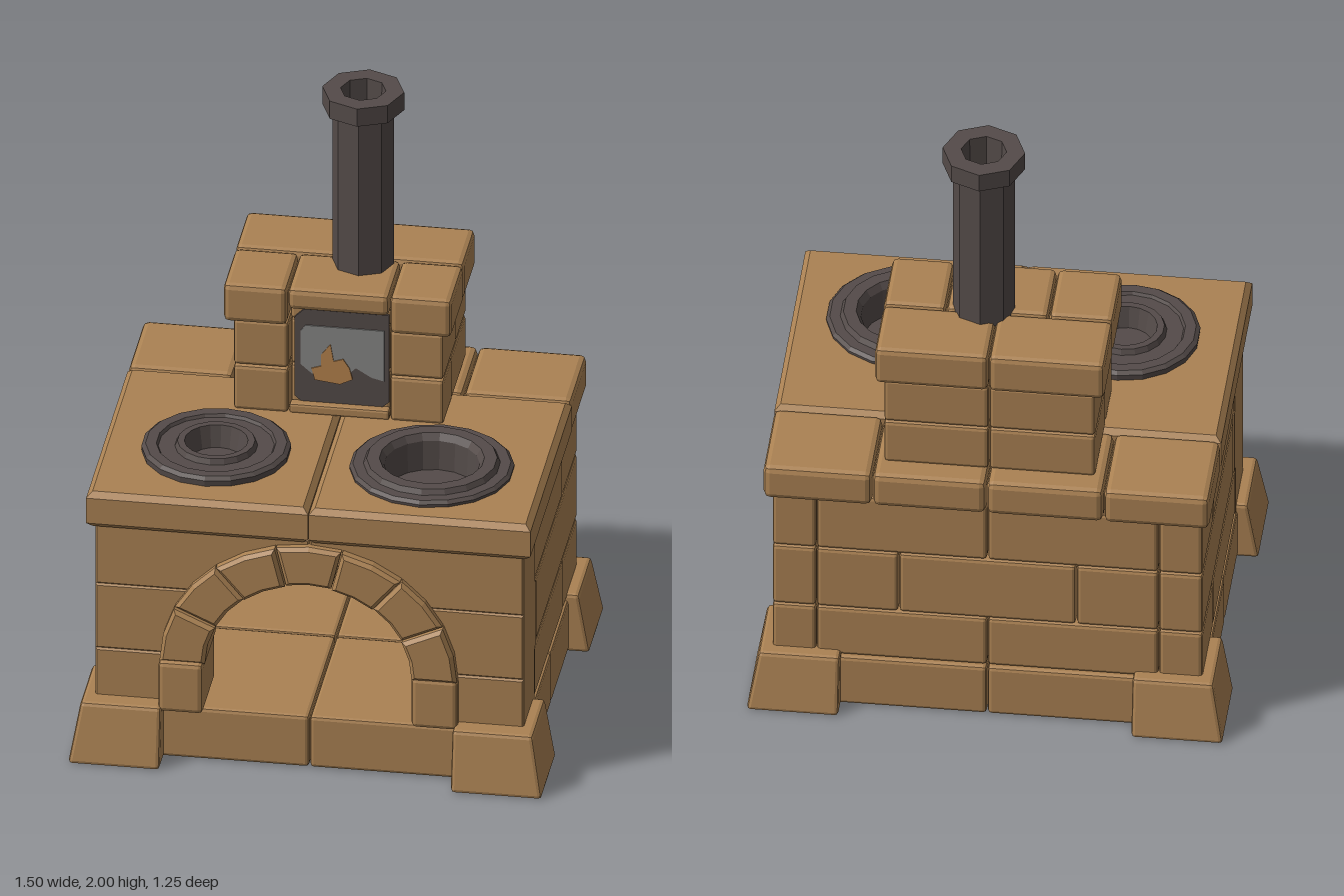
import * as THREE from 'three';
import { RoundedBoxGeometry } from 'three/addons/geometries/RoundedBoxGeometry.js';

const mat = (name, color, flatShading = true) => new THREE.MeshStandardMaterial({ name, color, flatShading });

export function createModel() {
  const brick = mat('clay brick', 0xab8253);
  const iron = mat('dark iron', 0x544b49);
  const glass = mat('grey glass', 0x868685);
  const flame = mat('flame', 0xb5824c);

  const model = new THREE.Group();
  model.name = 'brickStove';
  const group = (name) => {
    const g = new THREE.Group();
    g.name = name;
    model.add(g);
    return g;
  };
  const add = (parent, name, geometry, material) => {
    const m = new THREE.Mesh(geometry, material);
    m.name = name;
    parent.add(m);
    return m;
  };

  // Chamfered block given by its limits, with a hairline joint around it
  const block = (parent, name, [x0, x1], [y0, y1], [z0, z1], r = 0.012) => {
    const j = 0.003;
    const m = add(parent, name, new RoundedBoxGeometry(x1 - x0 - j, y1 - y0 - j, z1 - z0 - j, 1, r), brick);
    m.position.set((x0 + x1) / 2, (y0 + y1) / 2, (z0 + z1) / 2);
    return m;
  };
  // Neighbouring pairs of a list of cuts
  const spans = (cuts) => cuts.slice(1).map((c, i) => [cuts[i], c]);

  // Chamfered extrusion of an outline from z0 to z1
  const prism = (parent, name, points, z0, z1, material = brick, bevel = 0.01, holes = []) => {
    const shape = new THREE.Shape(points.map(([x, y]) => new THREE.Vector2(x, y)));
    shape.holes = holes;
    const g = new THREE.ExtrudeGeometry(shape, {
      depth: z1 - z0 - 2 * bevel, bevelEnabled: bevel > 0, bevelSize: bevel,
      bevelThickness: bevel, bevelOffset: -bevel, bevelSegments: 1, curveSegments: 12,
    });
    g.translate(0, 0, z0 + bevel);
    return add(parent, name, g, material);
  };

  // Base and oven floor: four big blocks
  const base = group('base');
  for (const xs of spans([-0.685, 0, 0.685]))
    for (const zs of spans([-0.56, 0, 0.535])) block(base, 'baseBlock', xs, [0, 0.185], zs);

  // Sloping corner feet
  const feet = group('feet');
  for (const sx of [-1, 1]) for (const sz of [-1, 1]) {
    const g = new RoundedBoxGeometry(0.29, 0.205, 0.29, 1, 0.012);
    const p = g.attributes.position;
    for (let i = 0; i < p.count; i++) {
      const t = (p.getY(i) + 0.1025) / 0.205;
      if (p.getX(i) * sx > 0) p.setX(i, p.getX(i) - sx * 0.035 * t);
      if (p.getZ(i) * sz > 0) p.setZ(i, p.getZ(i) - sz * 0.035 * t);
    }
    add(feet, 'foot', g, brick).position.set(sx * 0.607, 0.1025, sz * 0.482);
  }

  // Side, back and front walls in three courses
  const walls = group('walls');
  const courses = [
    { y: [0.185, 0.37], side: [-0.55, -0.27, 0.315], back: [-0.54, 0, 0.54] },
    { y: [0.37, 0.6], side: [-0.55, 0.285], back: [-0.54, -0.28, 0.28, 0.54] },
    { y: [0.6, 0.815], side: [-0.55, -0.26, 0.3], back: [-0.54, 0, 0.54] },
  ];
  const openX = (y) => (y < 0.34 ? 0.4 : Math.sqrt(Math.max(0, 0.16 - (y - 0.34) ** 2)));
  for (const { y, side, back } of courses) {
    for (const zs of spans(side)) {
      block(walls, 'sideBrick', [0.54, 0.68], y, zs);
      block(walls, 'sideBrick', [-0.68, -0.54], y, zs);
    }
    for (const xs of spans(back)) block(walls, 'backBrick', xs, y, [-0.55, -0.42]);
    const [y0, y1] = y;
    for (const s of [-1, 1]) {
      const pts = [[s * 0.68, y0], [s * 0.68, y1]];
      if (y1 > 0.74) pts.push([0, y1], [0, 0.74]);
      const top = Math.min(y1, 0.74);
      for (let i = y1 > 0.74 ? 1 : 0; i <= 6; i++) {
        const v = top + (y0 - top) * i / 6;
        pts.push([s * openX(v), v]);
      }
      prism(walls, 'frontBrick', pts, side[side.length - 1], 0.53, brick, 0.006);
    }
  }

  // Arch surround: two jambs and seven wedge stones
  const arch = group('arch');
  block(arch, 'jamb', [-0.475, -0.33], [0.185, 0.365], [0.33, 0.583], 0.015);
  block(arch, 'jamb', [0.325, 0.475], [0.185, 0.365], [0.33, 0.562], 0.015);
  for (let i = 0; i < 7; i++) {
    const pts = [];
    const at = (r, k) => {
      const a = Math.PI * (i + k) / 7;
      pts.push([r * Math.cos(a), 0.355 + r * 0.94 * Math.sin(a)]);
    };
    [0.01, 0.5, 0.99].forEach((k) => at(0.472, k));
    [0.99, 0.5, 0.01].forEach((k) => at(0.328, k));
    prism(arch, 'archStone', pts, 0.33, i % 2 ? 0.56 : 0.568, brick, 0.012);
  }

  // Worktop: back row of blocks and two front slabs with burner holes
  const worktop = group('worktop');
  for (const xs of spans([-0.705, -0.37, 0, 0.36, 0.705]))
    block(worktop, 'worktopBlock', xs, [0.81, 0.935], [-0.59, -0.275], 0.02);
  const burners = [{ x: -0.345, z: 0.22, hole: 0.14 }, { x: 0.34, z: 0.225, hole: 0.19 }];
  for (const { x, z, hole } of burners) {
    const [x0, x1] = x < 0 ? [-0.705, -0.001] : [0.001, 0.705];
    const cut = new THREE.Path().absarc(x, -z, hole, 0, Math.PI * 2, true);
    const slab = prism(worktop, 'worktopSlab',
      [[x0, -0.555], [x1, -0.555], [x1, 0.274], [x0, 0.274]], 0.81, 0.935, brick, 0.018, [cut]);
    slab.rotation.x = -Math.PI / 2;
  }

  // Iron burners sunk into the worktop
  const lathe = (parent, name, profile, sides, x, z) => {
    const g = new THREE.LatheGeometry(profile.map(([r, y]) => new THREE.Vector2(r, y)), sides);
    add(parent, name, g, iron).position.set(x, 0, z);
  };
  const hobs = group('burners');
  lathe(hobs, 'smallBurner', [[0.232, 0.925], [0.235, 0.955], [0.222, 0.965], [0.188, 0.965], [0.182, 0.955],
    [0.13, 0.955], [0.122, 0.973], [0.1, 0.973], [0.085, 0.9], [0, 0.9]], 18, burners[0].x, burners[0].z);
  lathe(hobs, 'largeBurner', [[0.256, 0.925], [0.259, 0.945], [0.248, 0.955], [0.215, 0.955], [0.205, 0.972],
    [0.165, 0.972], [0.15, 0.95], [0.145, 0.85], [0, 0.85]], 18, burners[1].x, burners[1].z);

  // Chimney stack with a shallow recess in front
  const stack = group('chimneyStack');
  for (const [y, z] of [[[0.93, 1.09], -0.23], [[1.09, 1.255], -0.31]]) {
    block(stack, 'stackBrick', [-0.337, -0.16], y, [z, -0.06]);
    block(stack, 'stackBrick', [0.16, 0.333], y, [z, -0.06]);
    block(stack, 'recessBrick', [-0.16, 0.16], y, [z, -0.095]);
    for (const xs of spans([-0.337, 0, 0.333])) block(stack, 'stackBrick', xs, y, [-0.51, z]);
  }
  const capY = [1.25, 1.387];
  for (const xs of spans([-0.367, 0, 0.36])) block(stack, 'capBlock', xs, capY, [-0.53, -0.29], 0.018);
  block(stack, 'capBlock', [-0.367, -0.162], capY, [-0.29, -0.04], 0.018);
  block(stack, 'capBlock', [0.162, 0.36], capY, [-0.29, -0.04], 0.018);
  block(stack, 'capLintel', [-0.162, 0.162], [1.31, 1.387], [-0.29, -0.04], 0.018);
  block(stack, 'recessTop', [-0.162, 0.162], [1.25, 1.315], [-0.29, -0.095]);
  block(stack, 'recessSill', [-0.16, 0.16], [0.93, 0.967], [-0.1, -0.06], 0.008);

  // Firebox door with its window and flame
  const door = group('fireboxDoor');
  prism(door, 'doorPlate', [[-0.145, 0.985], [-0.125, 0.967], [0.135, 0.967], [0.155, 0.985],
    [0.155, 1.295], [-0.115, 1.295], [-0.145, 1.265]], -0.094, -0.085, iron, 0);
  prism(door, 'doorWindow', [[-0.125, 1.22], [-0.125, 1.1], [-0.09, 1.07], [0.03, 1.08], [0.05, 1.1],
    [0.1, 1.07], [0.14, 1.06], [0.14, 1.24], [-0.11, 1.24]], -0.085, -0.081, glass, 0);
  prism(door, 'flame', [[-0.08, 1.05], [0, 1.04], [0.04, 1.06], [0.03, 1.1], [0.01, 1.13], [-0.02, 1.12],
    [-0.03, 1.18], [-0.06, 1.14], [-0.06, 1.1], [-0.09, 1.09]], -0.083, -0.077, flame, 0);

  // Eight-sided stovepipe with a hollow collar
  lathe(group('stovepipe'), 'pipe', [[0.098, 1.37], [0.098, 1.935], [0.13, 1.937], [0.13, 2], [0.072, 2],
    [0.066, 1.6], [0, 1.6]], 8, 0.045, -0.262);

  return model;
}
